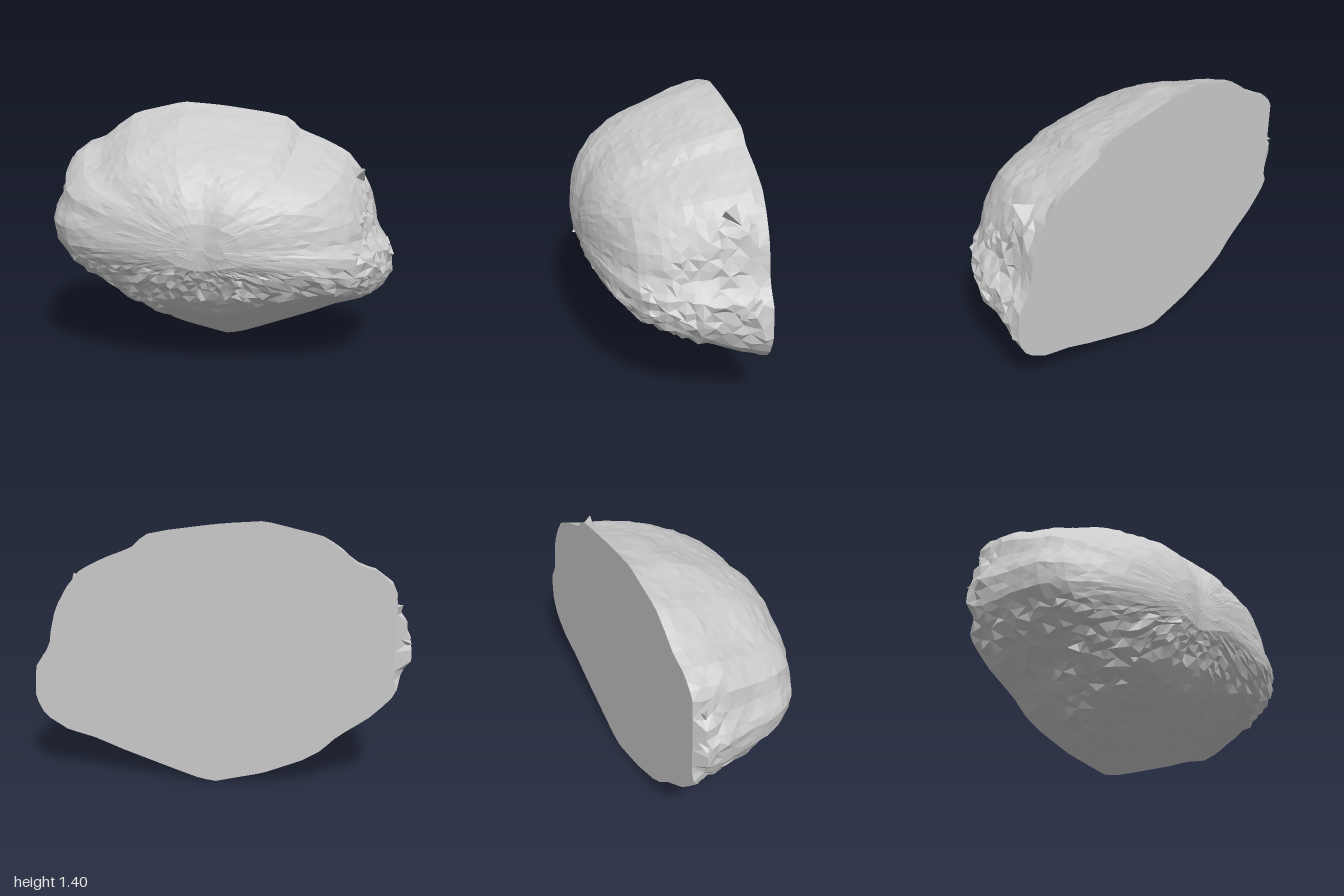
import * as THREE from 'three';

const COUNT = 100, RINGS = 26, BACK = -0.405, DEPTH = 0.815;
const CX = -0.04, CY = 0.72;

// Silhouette of the widest section, counter-clockwise from the bottom of the keel
const OUTLINE = [
  [0, 0], [0.08, 0.01], [0.2, 0.05], [0.5, 0.155], [0.65, 0.215], [0.8, 0.255], [0.92, 0.33],
  [0.97, 0.43], [0.96, 0.6], [0.88, 0.72], [0.87, 0.8], [0.84, 0.92], [0.78, 1.03], [0.7, 1.13],
  [0.56, 1.2], [0.43, 1.25], [0.36, 1.32], [0.24, 1.345], [0.07, 1.37], [-0.05, 1.385], [-0.25, 1.4],
  [-0.4, 1.365], [-0.53, 1.335], [-0.63, 1.265], [-0.72, 1.19], [-0.82, 1.16], [-0.92, 1.06],
  [-0.94, 0.95], [-1, 0.82], [-0.98, 0.65], [-0.9, 0.5], [-0.8, 0.4], [-0.63, 0.28], [-0.55, 0.2],
  [-0.45, 0.14], [-0.25, 0.06],
];

// How far the section has shrunk at each depth: [z, width, upward, downward]
const PROFILE = [
  [-0.405, 1, 1, 1], [-0.2, 0.975, 0.92, 0.86], [0, 0.93, 0.79, 0.72], [0.1, 0.885, 0.72, 0.645],
  [0.2, 0.81, 0.63, 0.56], [0.28, 0.67, 0.53, 0.44], [0.33, 0.54, 0.44, 0.32],
  [0.37, 0.39, 0.33, 0.23], [0.4, 0.22, 0.19, 0.15], [0.41, 0, 0, 0],
];

function seeded(seed) {
  return () => {
    seed = (seed * 16807) % 2147483647;
    return seed / 2147483647 - 0.5;
  };
}

function scaleAt(z) {
  let i = 0;
  while (i < PROFILE.length - 2 && z > PROFILE[i + 1][0]) i++;
  const a = PROFILE[i], b = PROFILE[i + 1];
  const t = THREE.MathUtils.clamp((z - a[0]) / (b[0] - a[0]), 0, 1);
  return a.map((v, k) => v + (b[k] - v) * t);
}

function outlinePoints() {
  const path = new THREE.CurvePath();
  OUTLINE.forEach(([x, y], i) => {
    const [u, v] = OUTLINE[(i + 1) % OUTLINE.length];
    path.add(new THREE.LineCurve(new THREE.Vector2(x, y), new THREE.Vector2(u, v)));
  });
  return path.getSpacedPoints(COUNT).slice(0, COUNT);
}

function meshFrom(name, positions, indices, material) {
  const geometry = new THREE.BufferGeometry();
  geometry.setAttribute('position', new THREE.Float32BufferAttribute(positions, 3));
  geometry.setIndex(indices);
  geometry.computeVertexNormals();
  const mesh = new THREE.Mesh(geometry, material);
  mesh.name = name;
  return mesh;
}

export function createModel() {
  const group = new THREE.Group();
  group.name = 'halfRock';
  const material = new THREE.MeshStandardMaterial({ color: 0xcccccc, flatShading: true });
  const outline = outlinePoints();
  const rand = seeded(4711);

  // Weathered shell: shrinking sections from the cut to the front
  const shell = [], faces = [];
  for (let k = 0; k <= RINGS; k++) {
    const z = BACK + DEPTH * Math.sin((k / RINGS) * Math.PI / 2);
    const [, w, up, down] = scaleAt(z);
    for (const p of outline) {
      let x = CX + (p.x - CX) * w;
      let y = CY + (p.y - CY) * (p.y > CY ? up : down);
      // Shallow groove down the middle of the front
      const groove = 0.025 * Math.exp(-(((x + 0.02) / 0.07) ** 2));
      let pz = z - (z > 0 ? groove * z / 0.41 : 0);
      if (k === 0) {
        // The right-hand end is broken off at the cut
        if (y > 0.6) x = Math.max(x, -0.91);
      } else {
        // Chipped band under the overhang and at both ends, smoother elsewhere
        const band = y > 0.42 && y < 0.6;
        const ends = (x > 0.78 && y > 0.4) || (x < -0.87 && z < -0.25);
        const underside = x < -0.3 && y < 0.45 && z > -0.25;
        const rough = (band || ends || underside ? 0.032 : 0.008) * Math.min(1, w * 1.6);
        const swell = 0.007 * w * Math.sin(7 * x + 9 * z) * Math.cos(11 * y - 4 * x);
        x += rand() * rough + swell * Math.sign(x);
        y += rand() * rough + swell;
        pz = Math.max(BACK + 0.004, pz + rand() * rough * 0.7 + swell * 0.5);
      }
      shell.push(x, y, pz);
    }
  }
  for (let k = 0; k < RINGS; k++) {
    for (let i = 0; i < COUNT; i++) {
      const j = (i + 1) % COUNT;
      const a = k * COUNT + i, b = k * COUNT + j, c = b + COUNT, d = a + COUNT;
      // Alternating diagonals keep the facets irregular
      if ((i + k) % 2) faces.push(a, b, c, a, c, d);
      else faces.push(a, b, d, b, c, d);
    }
  }
  group.add(meshFrom('weatheredShell', shell, faces, material));

  // Flat cut face, closing the first section
  const cut = [...shell.slice(0, COUNT * 3), CX, CY, BACK], cutFaces = [];
  for (let i = 0; i < COUNT; i++) cutFaces.push((i + 1) % COUNT, i, COUNT);
  group.add(meshFrom('flatCutFace', cut, cutFaces, material));

  // Sharp broken chips at the two ends and on the ledge: [x, y, z, size]
  const chips = [
    [0.75, 1.02, -0.24, 0.08], [0.92, 0.58, -0.3, 0.09], [0.81, 0.85, -0.2, 0.06],
    [0.87, 0.55, 0, 0.05], [-0.9, 0.95, -0.34, 0.06], [-0.94, 0.8, -0.35, 0.06],
    [-0.2, 0.6, 0.36, 0.05], [0.44, 0.51, 0.24, 0.05], [-0.62, 0.6, 0.23, 0.05],
  ];
  chips.forEach(([x, y, z, size], i) => {
    const chip = new THREE.Mesh(new THREE.TetrahedronGeometry(size), material);
    chip.name = 'brokenChip' + (i + 1);
    chip.position.set(x, y, z);
    chip.rotation.set(i * 1.3, i * 0.7, i * 0.4);
    group.add(chip);
  });

  return group;
}
